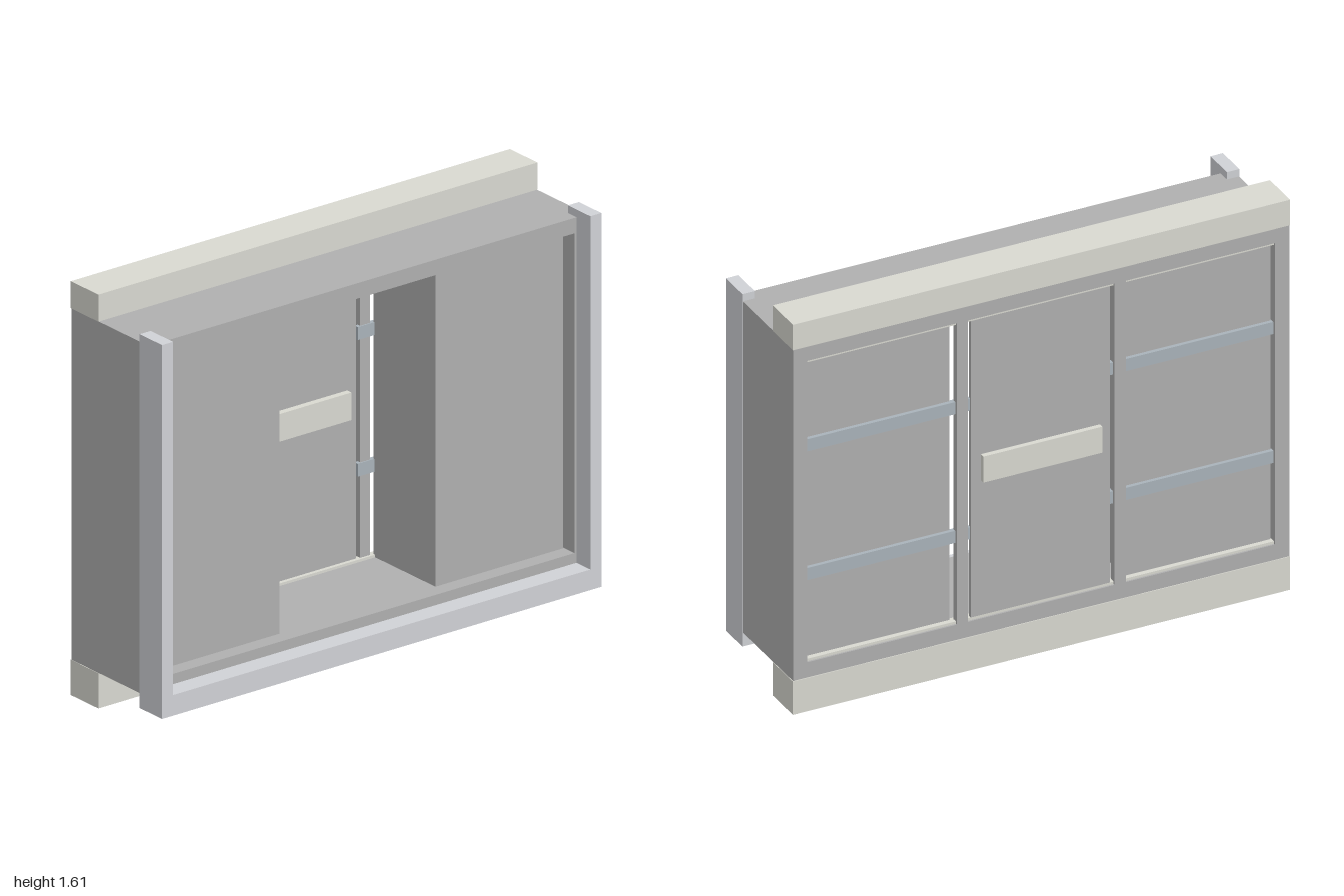
import * as THREE from 'three';

const grey = new THREE.MeshStandardMaterial({ color: 0xb0b0b0 });
const paleGrey = new THREE.MeshStandardMaterial({ color: 0xd0d2d6 });
const beige = new THREE.MeshStandardMaterial({ color: 0xd9d9d1 });
const blueGrey = new THREE.MeshStandardMaterial({ color: 0xa9b3ba });

export function createModel() {
  const model = new THREE.Group();
  model.name = 'slidingWallUnit';

  // Box given by its [min, max] along each axis
  const box = (name, material, x, y, z) => {
    const mesh = new THREE.Mesh(
      new THREE.BoxGeometry(x[1] - x[0], y[1] - y[0], z[1] - z[0]), material);
    mesh.position.set((x[0] + x[1]) / 2, (y[0] + y[1]) / 2, (z[0] + z[1]) / 2);
    mesh.name = name;
    model.add(mesh);
  };
  // The same box on both sides of the centre line
  const pair = (name, material, x, y, z) => {
    box(name + 'Left', material, x, y, z);
    box(name + 'Right', material, [-x[1], -x[0]], y, z);
  };

  // Deep surround with a rectangular opening
  const rect = (path, w, y0, y1) => path
    .moveTo(-w, y0).lineTo(w, y0).lineTo(w, y1).lineTo(-w, y1).lineTo(-w, y0);
  const outline = rect(new THREE.Shape(), 0.998, 0.137, 1.5);
  outline.holes.push(rect(new THREE.Path(), 0.94, 0.2, 1.44));
  const surround = new THREE.Mesh(
    new THREE.ExtrudeGeometry(outline, { depth: 0.447, bevelEnabled: false }), grey);
  surround.position.z = -0.257;
  surround.name = 'surround';
  model.add(surround);

  // Front trim: two posts and a bottom rail
  pair('frontPost', paleGrey, [0.95, 1], [0.08, 1.53], [0.14, 0.27]);
  box('frontBottomRail', paleGrey, [-0.95, 0.95], [0.08, 0.16], [0.14, 0.27]);

  // Beams along the back, above and below
  box('topBeam', beige, [-1, 1], [1.5, 1.605], [-0.26, -0.1]);
  box('bottomBeam', beige, [-1, 1], [0, 0.137], [-0.26, -0.1]);

  // Deep side cabinets and the thin centre panel
  pair('sideCabinet', grey, [0.355, 0.935], [0.2, 1.44], [-0.23, 0.13]);
  box('centrePanel', grey, [-0.28, 0.28], [0.21, 1.43], [-0.25, -0.235]);

  // Thin strips lining the head and foot of the opening
  for (const [name, y] of [['footStrip', 0.2], ['headStrip', 1.43]])
    box(name, beige, [-0.94, 0.94], [y, y + 0.01], [-0.25, -0.22]);

  // Back uprights and the cross rails behind them
  pair('upright', grey, [0.295, 0.34], [0.2, 1.44], [-0.257, -0.23]);
  for (const y of [0.53, 1.06])
    pair('crossRail', blueGrey, [0.28, 0.94], [y, y + 0.05], [-0.245, -0.225]);

  // Bar through the centre panel
  box('centreBar', beige, [-0.24, 0.24], [0.765, 0.872], [-0.27, -0.21]);

  return model;
}
